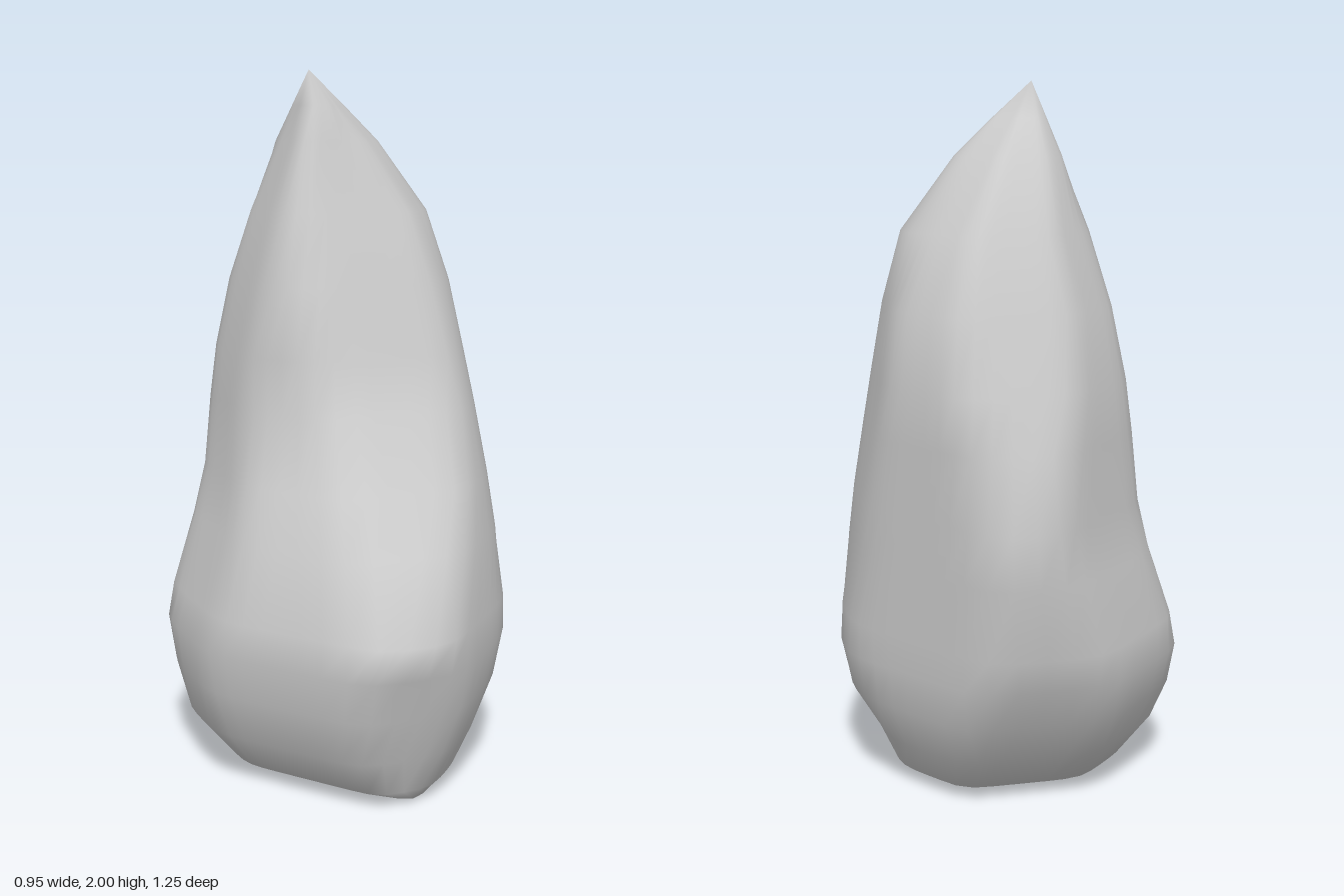
import * as THREE from 'three';

// Directions, in degrees from +x towards +z, in which the rock is measured
const DIRECTIONS = [0, 22, 45, 90, 145, 180, 225, 270, 325].map(THREE.MathUtils.degToRad);

// Height, then the reach in each direction:
// y, right, right bevel, front right, front, front left, left, back left, back, back right
const LEVELS = [
  [0.01, 0.29, 0.30, 0.35, 0.46, 0.27, 0.17, 0.16, 0.17, 0.25],
  [0.04, 0.32, 0.33, 0.38, 0.47, 0.35, 0.35, 0.34, 0.31, 0.32],
  [0.15, 0.37, 0.385, 0.43, 0.515, 0.43, 0.445, 0.42, 0.40, 0.39],
  [0.28, 0.45, 0.445, 0.47, 0.555, 0.465, 0.47, 0.49, 0.49, 0.445],
  [0.40, 0.475, 0.475, 0.485, 0.59, 0.485, 0.48, 0.52, 0.545, 0.46],
  [0.50, 0.465, 0.475, 0.48, 0.625, 0.48, 0.455, 0.52, 0.585, 0.465],
  [0.70, 0.445, 0.45, 0.45, 0.485, 0.42, 0.385, 0.475, 0.61, 0.47],
  [0.85, 0.43, 0.43, 0.41, 0.38, 0.34, 0.34, 0.455, 0.63, 0.475],
  [1.05, 0.40, 0.395, 0.36, 0.25, 0.255, 0.315, 0.445, 0.57, 0.48],
  [1.20, 0.38, 0.365, 0.315, 0.19, 0.25, 0.295, 0.43, 0.53, 0.485],
  [1.40, 0.35, 0.325, 0.255, 0.135, 0.22, 0.255, 0.39, 0.46, 0.45],
  [1.60, 0.305, 0.26, 0.17, 0.06, 0.165, 0.20, 0.32, 0.395, 0.36],
  [1.80, 0.155, 0.115, 0.04, 0.00, 0.09, 0.13, 0.245, 0.275, 0.205],
  [1.90, 0.06, 0.02, -0.04, -0.03, 0.045, 0.10, 0.18, 0.19, 0.10],
];
const SIDES = 48;
const SHARPNESS = 22;

// Rounded polygon that touches all the reaches of a level
function crossSection([y, ...reach]) {
  const cx = (reach[0] - reach[5]) / 2;
  const cz = (reach[3] - reach[7]) / 2;
  const points = [];
  for (let i = 0; i < SIDES; i++) {
    const angle = (i / SIDES) * Math.PI * 2;
    let sum = 0;
    reach.forEach((r, k) => {
      const dir = DIRECTIONS[k];
      const distance = r - cx * Math.cos(dir) - cz * Math.sin(dir);
      sum += Math.max(0, Math.cos(angle - dir) / distance) ** SHARPNESS;
    });
    const radius = sum ** (-1 / SHARPNESS);
    points.push(cx + radius * Math.cos(angle), y, cz + radius * Math.sin(angle));
  }
  return points;
}

function rockGeometry() {
  const positions = LEVELS.flatMap(crossSection);
  const bottom = LEVELS.length * SIDES;
  const tip = bottom + 1;
  positions.push(0.05, 0, 0.12, -0.07, 2, -0.09);

  const index = [];
  const last = (LEVELS.length - 1) * SIDES;
  for (let i = 0; i < SIDES; i++) {
    const j = (i + 1) % SIDES;
    // Skin between neighbouring levels
    for (let base = 0; base < last; base += SIDES) {
      const a = base + i, b = base + j;
      index.push(a, a + SIDES, b, b, a + SIDES, b + SIDES);
    }
    // Underside and pointed tip
    index.push(bottom, i, j, last + i, tip, last + j);
  }

  const geometry = new THREE.BufferGeometry();
  geometry.setAttribute('position', new THREE.Float32BufferAttribute(positions, 3));
  geometry.setIndex(index);
  geometry.computeVertexNormals();
  return geometry;
}

export function createModel() {
  const group = new THREE.Group();
  group.name = 'standingRock';
  const rock = new THREE.Mesh(rockGeometry(), new THREE.MeshStandardMaterial({ color: 0xcccccc }));
  rock.name = 'rock';
  group.add(rock);
  return group;
}
